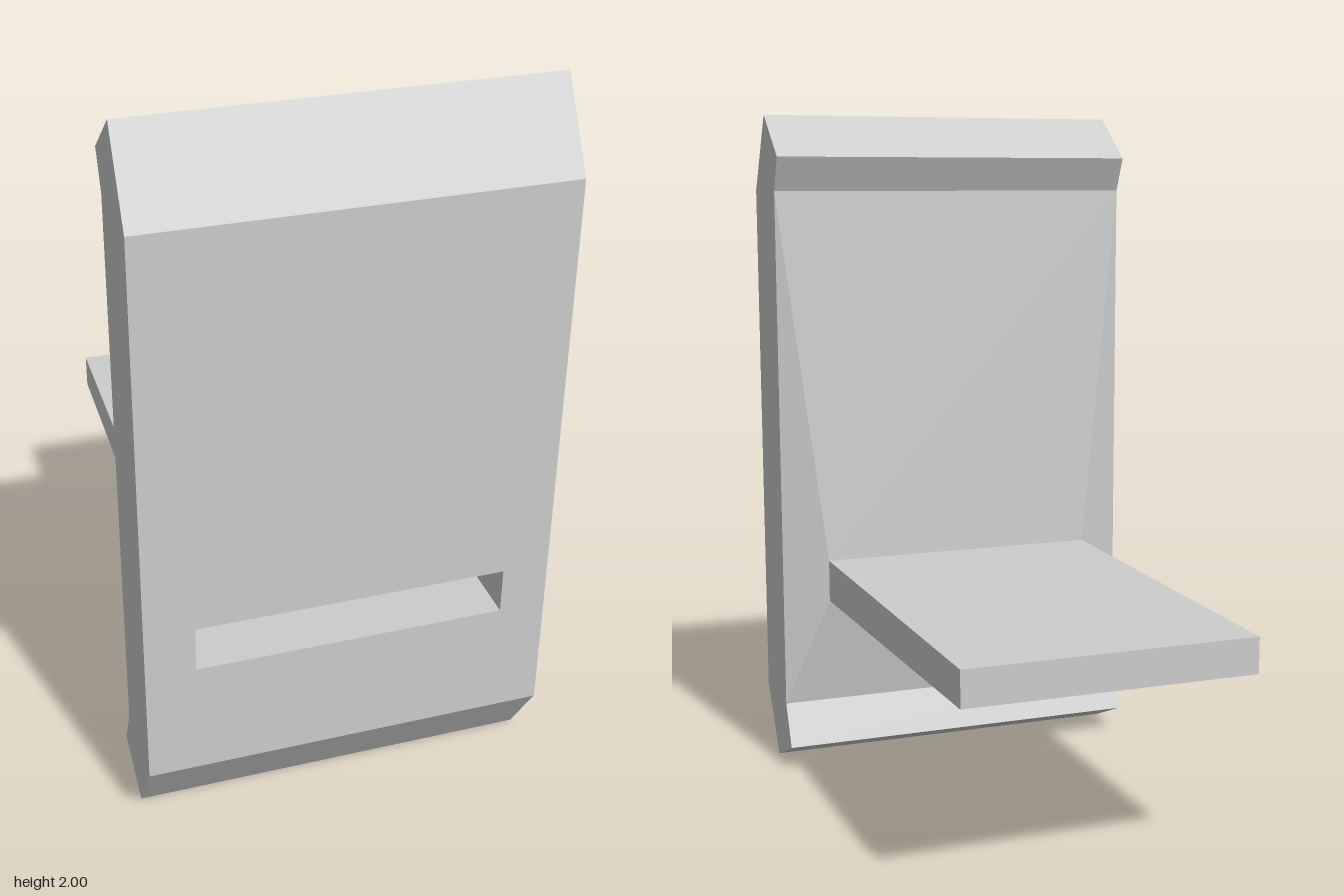
import * as THREE from 'three';

const grey = new THREE.MeshStandardMaterial({ color: 0xcccccc, side: THREE.DoubleSide });
grey.name = 'lightGrey';

// Flat-shaded mesh from quads, corners counter-clockwise seen from outside
function quadMesh(name, quads) {
  const pos = [];
  for (const [a, b, c, d] of quads) pos.push(...a, ...b, ...c, ...a, ...c, ...d);
  const g = new THREE.BufferGeometry();
  g.setAttribute('position', new THREE.Float32BufferAttribute(pos, 3));
  g.computeVertexNormals();
  const mesh = new THREE.Mesh(g, grey);
  mesh.name = name;
  return mesh;
}

// Four corners, counter-clockwise from the front
const rect = (x0, x1, y0, y1, z) => [[x0, y0, z], [x1, y0, z], [x1, y1, z], [x0, y1, z]];

// Strip of four quads joining two rectangular loops
const bridge = (a, b) => a.map((p, i) => {
  const j = (i + 1) % 4;
  return [p, a[j], b[j], b[i]];
});

export function createModel() {
  const group = new THREE.Group();
  group.name = 'slottedBracket';
  const W = 0.555;

  // Plate cross-section from bottom to top: front and back points as [y, z]
  const rows = [
    { f: [0, 0.615], b: [0.075, 0.44] },
    { f: [0.2, 0.745], b: [0.2, 0.5] },
    { f: [1.775, 0.745], b: [1.775, 0.5] },
    { f: [2, 0.615], b: [1.875, 0.455] },
  ];
  const L = (p) => [-W, ...p];
  const R = (p) => [W, ...p];

  // Outer and sloping edge faces; the middle band only gets its sides here
  const edges = [];
  for (let i = 0; i < 3; i++) {
    const lo = rows[i], hi = rows[i + 1];
    edges.push([R(lo.f), R(lo.b), R(hi.b), R(hi.f)]);
    edges.push([L(lo.b), L(lo.f), L(hi.f), L(hi.b)]);
    if (i === 1) continue;
    edges.push([L(lo.f), R(lo.f), R(hi.f), L(hi.f)]);
    edges.push([R(lo.b), L(lo.b), L(hi.b), R(hi.b)]);
  }
  const bottom = rows[0], top = rows[3];
  edges.push([L(bottom.b), R(bottom.b), R(bottom.f), L(bottom.f)]);
  edges.push([L(top.f), R(top.f), R(top.b), L(top.b)]);
  group.add(quadMesh('plateEdges', edges));

  // Loops of the hollow tongue: slot mouth, plate back, far end
  const mouth = rect(-0.42, 0.427, 0.53, 0.66, 0.745);
  const root = rect(-0.417, 0.425, 0.532, 0.658, 0.44);
  const end = rect(-0.405, 0.414, 0.545, 0.645, -0.745);

  // Front panel around the slot, and back panel rising to the tongue
  group.add(quadMesh('frontPanel', bridge(rect(-W, W, 0.2, 1.775, 0.745), mouth)));
  group.add(quadMesh('backPanel', bridge(root, rect(-W, W, 0.2, 1.775, 0.5))));

  // Tapered hollow tongue, closed at its far end
  group.add(quadMesh('tongue', [
    ...bridge(root, mouth).map((q) => [...q].reverse()),
    ...bridge(end, root),
    [...end].reverse(),
  ]));
  return group;
}
